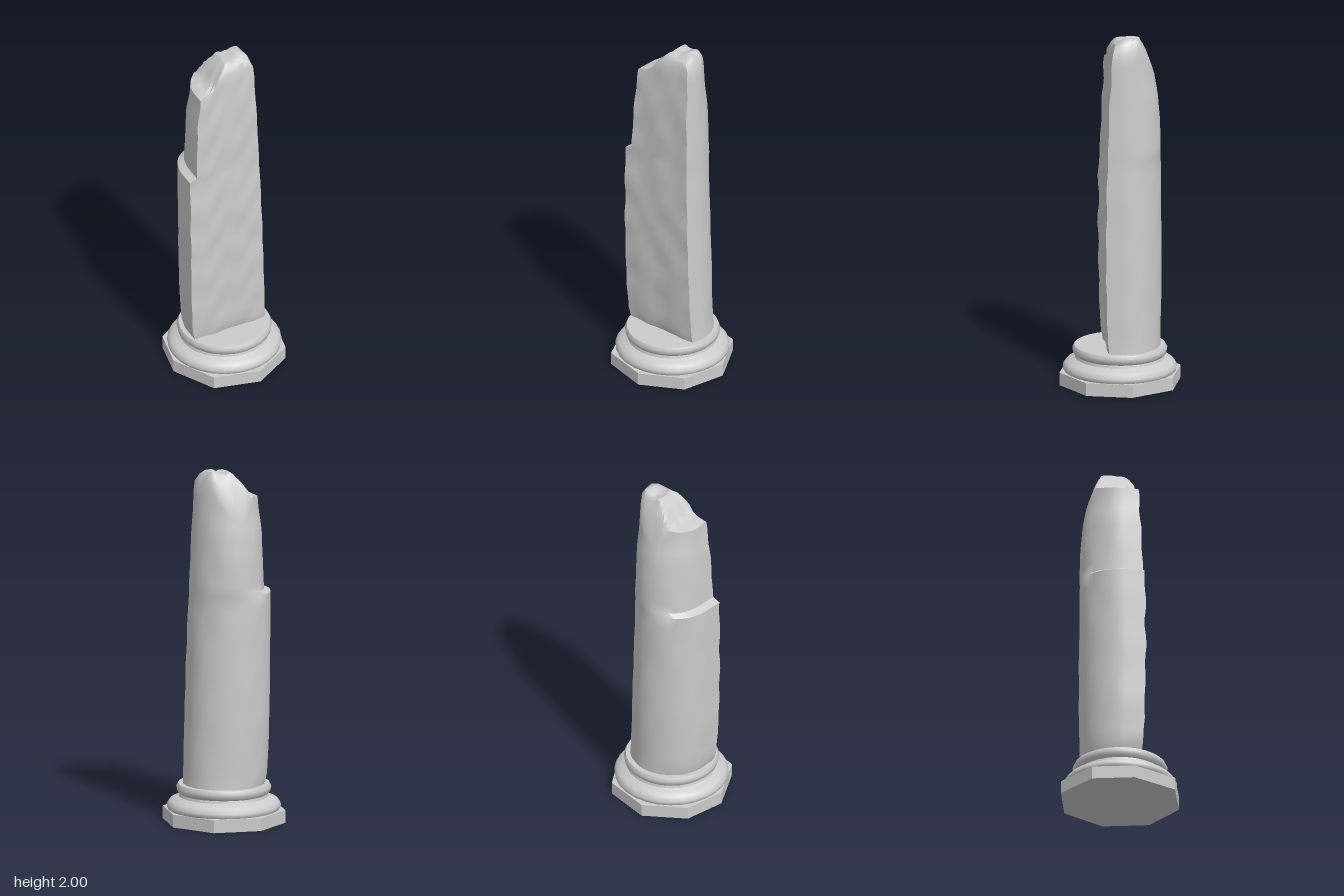
import * as THREE from 'three';
import { toCreasedNormals } from 'three/addons/utils/BufferGeometryUtils.js';

const stone = new THREE.MeshStandardMaterial({ color: 0xcccccc, roughness: 0.9 });

// Piecewise-linear lookup in [[key, value], ...]
function lerpTable(table, k) {
  if (k <= table[0][0]) return table[0][1];
  for (let i = 1; i < table.length; i++) {
    const [k0, v0] = table[i - 1], [k1, v1] = table[i];
    if (k <= k1) return v0 + (v1 - v0) * (k - k0) / (k1 - k0);
  }
  return table[table.length - 1][1];
}

// Extents of the shaft by height
const leftX = [[0.2, -0.22], [0.26, -0.24], [0.5, -0.253], [0.9, -0.258], [1.295, -0.26], [1.315, -0.218],
  [1.45, -0.213], [1.65, -0.205], [1.75, -0.19], [1.83, -0.185]];
const rightX = [[0.2, 0.228], [0.3, 0.222], [1.0, 0.198], [1.9, 0.166], [2, 0.155]];
const frontZ = [[0.2, 0.085], [0.25, 0.1], [0.6, 0.108], [1.1, 0.105], [1.3, 0.095], [1.6, 0.088], [1.9, 0.07], [2, 0.05]];
const backZ = [[0.2, -0.222], [0.6, -0.23], [1.2, -0.228], [1.5, -0.222], [1.65, -0.21], [1.75, -0.19], [2, -0.17]];

// Broken top: lower of a profile across and a profile front to back
const topAcross = [[-0.22, 1.8], [-0.18, 1.825], [-0.14, 1.835], [-0.1, 1.85], [-0.05, 1.925], [0, 1.978],
  [0.05, 1.968], [0.1, 2], [0.14, 1.975], [0.17, 1.9]];
const topDepth = [[-0.22, 1.63], [-0.185, 1.78], [-0.14, 1.9], [-0.1, 1.98], [-0.05, 2], [0, 1.98], [0.04, 1.955], [0.09, 1.88]];
const topHeight = (x, z) => Math.min(lerpTable(topAcross, x), lerpTable(topDepth, z));

// Gentle weathering
const wear = (a, y) => 0.5 * Math.sin(19 * a + 11 * y + 2 * Math.sin(7 * y))
  + 0.5 * Math.sin(27 * y - 13 * a + 1.5 * Math.sin(23 * a));

// Outline of the shaft: round back, flat split face in front
const ARC = 32, FACE = 12, COLS = ARC + FACE;
function outline(i, y) {
  const xl = lerpTable(leftX, y), xr = lerpTable(rightX, y);
  const zf = lerpTable(frontZ, y), zb = lerpTable(backZ, y);
  const c = (xl + xr) / 2, w = (xr - xl) / 2;
  const startX = c + w * 0.95, startZ = zf - 0.022;
  if (i >= ARC) {
    const t = (i - ARC) / FACE;
    const x = xl + (startX - xl) * t;
    return [x, zf + (startZ - zf) * t + 0.006 * wear(x * 1.4, y)];
  }
  if (i === 0) return [startX, startZ + 0.004 * wear(startX * 1.4, y)];
  const a = Math.PI * (i - 1) / (ARC - 2);
  const r = 1 + 0.008 * wear(a * 0.35, y * 0.7);
  return [c + w * Math.cos(a) * r, zb * Math.sin(a) * r];
}

function shaftGeometry() {
  const lower = [0.2, 0.23, 0.27, 0.33];
  for (let y = 0.4; y < 1.28; y += 0.055) lower.push(y);
  lower.push(1.295, 1.315);
  const UPPER = 11, CAP = 7, cx = 0, cz = -0.04;
  const rows = lower.map(y => {
    const row = [];
    for (let i = 0; i < COLS; i++) {
      const [x, z] = outline(i, y);
      row.push([x, y, z]);
    }
    return row;
  });
  // Each column ends where it meets the broken top
  const ends = [];
  for (let i = 0; i < COLS; i++) {
    const [x, z] = outline(i, 1.75);
    ends.push(topHeight(x, z));
  }
  for (let k = 1; k <= UPPER; k++) {
    rows.push(ends.map((end, i) => {
      const y = 1.315 + (end - 1.315) * k / UPPER;
      const [x, z] = outline(i, y);
      return [x, y, z];
    }));
  }
  // Cap rings run inwards over the broken surface
  const rim = rows[rows.length - 1];
  for (let k = 1; k <= CAP; k++) {
    const s = 1 - k / CAP;
    rows.push(rim.map(([px, py, pz]) => {
      const x = cx + (px - cx) * s, z = cz + (pz - cz) * s;
      const y = Math.min(2, topHeight(x, z) + 0.006 * s * wear(x * 3, z * 3));
      return [x, y, z];
    }));
  }
  const index = [];
  for (let r = 0; r < rows.length - 1; r++) {
    for (let i = 0; i < COLS; i++) {
      const j = (i + 1) % COLS;
      const a = r * COLS + i, b = r * COLS + j;
      index.push(a, b, b + COLS);
      if (r < rows.length - 2) index.push(a, b + COLS, a + COLS);
    }
  }
  const geo = new THREE.BufferGeometry();
  geo.setAttribute('position', new THREE.Float32BufferAttribute(rows.flat(2), 3));
  geo.setIndex(index);
  return toCreasedNormals(geo, 0.75);
}

function plinthGeometry() {
  // Uneven eight-sided slab, corners as x, z
  const corners = [[-0.07, -0.338], [0.19, -0.283], [0.33, -0.052], [0.278, 0.2],
    [0.056, 0.336], [-0.202, 0.278], [-0.33, 0.035], [-0.283, -0.195]];
  const shape = new THREE.Shape(corners.map(([x, z]) => new THREE.Vector2(x, -z)));
  return new THREE.ExtrudeGeometry(shape, { depth: 0.072, bevelEnabled: false }).rotateX(-Math.PI / 2);
}

function mouldingGeometry() {
  const profile = [[0.3, 0.065], [0.313, 0.08], [0.315, 0.098], [0.298, 0.122], [0.27, 0.133], [0.248, 0.145],
    [0.244, 0.16], [0.258, 0.175], [0.262, 0.198], [0.252, 0.216], [0.2, 0.217], [0, 0.212]];
  const geo = new THREE.LatheGeometry(profile.map(([r, y]) => new THREE.Vector2(r, y)), 28);
  return toCreasedNormals(geo, 0.8);
}

export function createModel() {
  const column = new THREE.Group();
  column.name = 'brokenColumn';
  const parts = { plinth: plinthGeometry(), baseMoulding: mouldingGeometry(), brokenShaft: shaftGeometry() };
  for (const [name, geometry] of Object.entries(parts)) {
    const mesh = new THREE.Mesh(geometry, stone);
    mesh.name = name;
    column.add(mesh);
  }
  return column;
}
